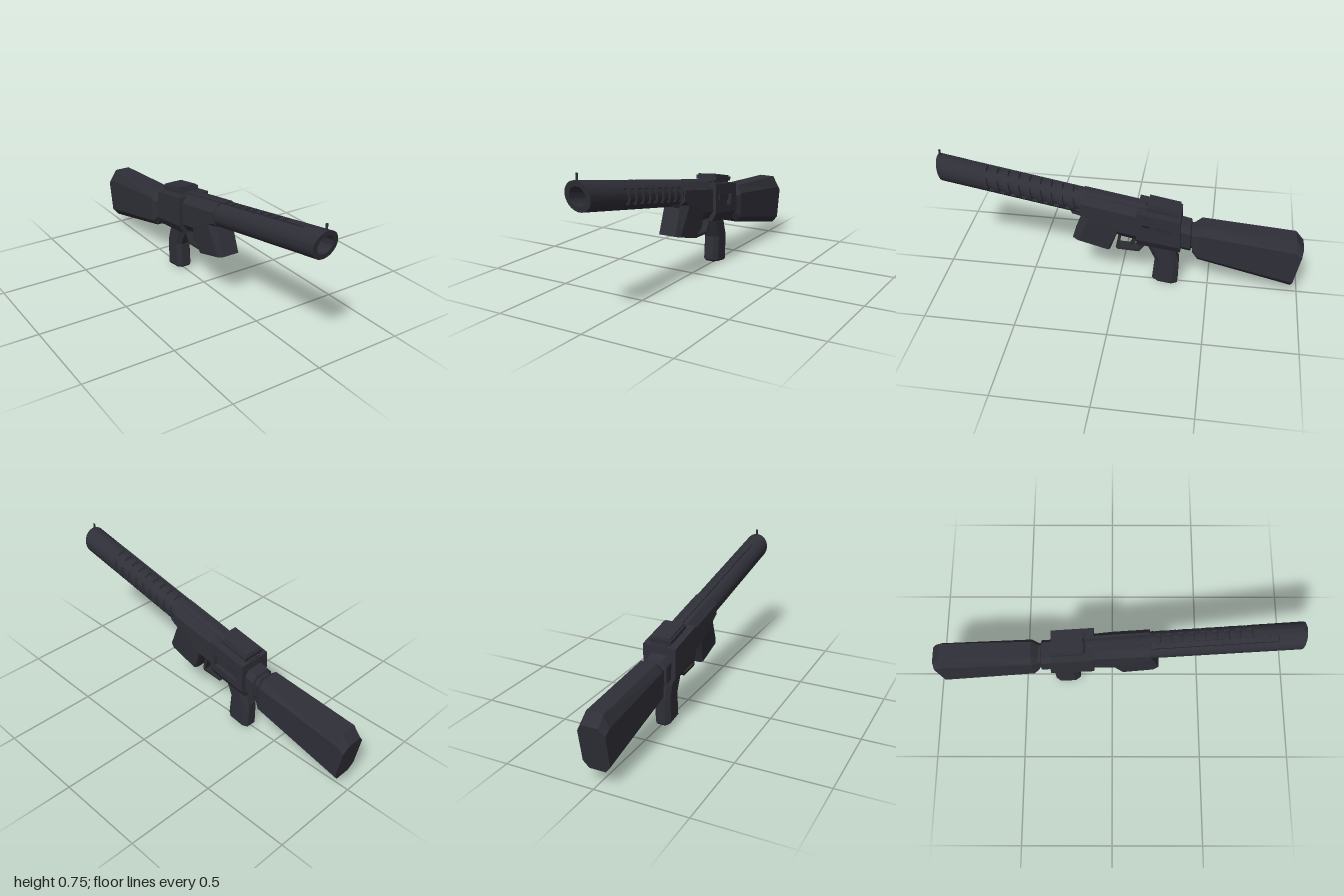
import * as THREE from 'three';
import { toCreasedNormals } from 'three/addons/utils/BufferGeometryUtils.js';

const main = new THREE.MeshStandardMaterial({ color: 0x2f2f38 });
main.name = 'dark blue grey';
const metal = new THREE.MeshStandardMaterial({ color: 0x2b2c30 });
metal.name = 'dark grey';

const V = (x, y, z) => new THREE.Vector3(x, y, z);

// Skin a list of equal-length rings, with caps; turned outward by signed volume
function loft(rings, crease = 0.15) {
  const tris = [];
  const n = rings[0].length;
  const mid = (r) => r.reduce((s, p) => s.add(p), V(0, 0, 0)).divideScalar(n);
  const first = rings[0], last = rings[rings.length - 1];
  const c0 = mid(first), c1 = mid(last);
  for (let j = 0; j < n; j++) {
    const k = (j + 1) % n;
    for (let i = 0; i + 1 < rings.length; i++) {
      const a = rings[i][j], b = rings[i][k], c = rings[i + 1][k], d = rings[i + 1][j];
      tris.push([a, b, c], [a, c, d]);
    }
    tris.push([c0, first[k], first[j]], [c1, last[j], last[k]]);
  }
  const volume = tris.reduce((s, [a, b, c]) => s + a.dot(b.clone().cross(c)), 0);
  const pts = tris.flatMap(([a, b, c]) => (volume < 0 ? [a, c, b] : [a, b, c]));
  const g = new THREE.BufferGeometry().setFromPoints(pts);
  return toCreasedNormals(g, crease);
}

// Chamfered eight-sided ring between edge A and edge B, half width w, flat half width f
function ring(zA, yA, zB, yB, w, f, cA = 0.2, cB = 0.2) {
  const at = (x, t) => V(x, yA + (yB - yA) * t, zA + (zB - zA) * t);
  return [at(-f, 0), at(f, 0), at(w, cA), at(w, 1 - cB), at(f, 1), at(-f, 1), at(-w, 1 - cB), at(-w, cA)];
}

// Side outline of [z, y] points, extruded from x0 to x1
function side(points, x0, x1, hole) {
  const vec = (list) => list.map(([z, y]) => new THREE.Vector2(-z, y));
  const shape = new THREE.Shape(vec(points));
  if (hole) shape.holes.push(new THREE.Path(vec(hole)));
  const g = new THREE.ExtrudeGeometry(shape, { depth: x1 - x0, bevelEnabled: false });
  return g.rotateY(Math.PI / 2).translate(x0, 0, 0);
}

// Barrel with vent slots, a long groove and a slanted, hollow muzzle
function barrelGeometry() {
  const R = 0.072, length = 1.16, eps = 0.0006;
  const slots = Array.from({ length: 9 }, (_, i) => -0.275 - i * 0.06);
  const slotW = 0.027, grooveStart = -0.14;
  const arcs = { groove: [-42, -16], top: [-15, 30], side: [58, 122] };
  const angles = [];
  for (let a = -180; a < 180; a += 6) angles.push(a);
  for (const e of Object.values(arcs).flat()) angles.push(e - 0.3, e + 0.3);
  angles.sort((a, b) => a - b);
  const inside = (v, [lo, hi]) => v > lo && v < hi;
  const radius = (a, s) => {
    if (s < grooveStart && inside(a, arcs.groove)) return R - 0.008;
    const inSlot = slots.some((t) => s < t && s > t - slotW);
    return inSlot && (inside(a, arcs.top) || inside(a, arcs.side)) ? R - 0.012 : R;
  };
  const makeRing = (s, r) => angles.map((a) => {
    const t = THREE.MathUtils.degToRad(a), q = r ?? radius(a, s);
    return V(Math.sin(t) * q, Math.cos(t) * q, s + 0.36 * Math.cos(t) * q);
  });
  const edges = [grooveStart, ...slots.flatMap((t) => [t, t - slotW])];
  const stations = [0, ...edges.flatMap((e) => [e + eps, e - eps]), -length];
  return loft([makeRing(-0.45, 0.046), makeRing(0, 0.046), ...stations.map((s) => makeRing(s))], 0.5);
}

export function createModel() {
  const model = new THREE.Group();
  model.name = 'rifle';
  const add = (name, geometry, material = main) => {
    const mesh = new THREE.Mesh(geometry, material);
    mesh.name = name;
    model.add(mesh);
    return mesh;
  };

  // Barrel and front sight
  const barrel = add('barrel', barrelGeometry());
  barrel.position.set(-0.002, 0.644, 0.985);
  barrel.rotation.x = -0.18;
  add('frontSight', new THREE.CylinderGeometry(0.006, 0.006, 0.06, 10).translate(-0.002, 0.72, 0.985));
  add('barrelLug', side([[0.27, 0.47], [0.26, 0.44], [0.19, 0.42], [0.19, 0.46]], 0.008, 0.045));

  // Receiver, slimmer where the side housing covers it
  add('receiver', loft([
    ring(0.2, 0.565, 0.208, 0.44, 0.078, 0.045, 0.32, 0.2),
    ring(0, 0.53, 0, 0.32, 0.078, 0.045),
    ring(-0.1, 0.512, -0.1, 0.3, 0.074, 0.045),
    ring(-0.105, 0.511, -0.105, 0.3, 0.044, 0.04),
    ring(-0.33, 0.475, -0.335, 0.257, 0.044, 0.04),
  ]));

  // Rear housing with the ejection port on one side
  const outline = [[-0.1, 0.505], [-0.335, 0.465], [-0.34, 0.3], [-0.1, 0.335]];
  const port = [[-0.127, 0.438], [-0.29, 0.412], [-0.288, 0.347], [-0.129, 0.372]];
  add('housing', side(outline, -0.095, 0.045));
  add('portFrame', side(outline, 0.045, 0.094, port));
  add('bolt', side([[-0.19, 0.427], [-0.29, 0.411], [-0.288, 0.372], [-0.19, 0.388]], 0.04, 0.07), metal);
  const wedge = (z, top, bottom) => [V(-0.095, top, z), V(0.094, top, z), V(0.068, bottom, z), V(-0.068, bottom, z)];
  add('housingBase', loft([wedge(-0.1, 0.335, 0.285), wedge(-0.34, 0.3, 0.255)]));

  // Top rail
  add('railBase', side([[-0.15, 0.517], [-0.325, 0.487], [-0.32, 0.45], [-0.145, 0.48]], -0.05, 0.05));
  add('rail', side([[-0.155, 0.53], [-0.327, 0.5], [-0.324, 0.478], [-0.152, 0.508]], -0.064, 0.062));
  add('railTop', side([[-0.16, 0.537], [-0.32, 0.508], [-0.32, 0.49], [-0.16, 0.52]], -0.054, 0.052));

  // Magazine well, open underneath
  add('magazineWell', loft([
    ring(0.19, 0.48, 0, 0.43, 0.078, 0.05, 0.2, 0.02),
    ring(0.206, 0.43, 0.005, 0.35, 0.076, 0.048, 0.2, 0.02),
    ring(0.26, 0.283, 0.05, 0.225, 0.064, 0.05, 0.15, 0.05),
    ring(0.248, 0.28, 0.062, 0.228, 0.053, 0.042, 0.12, 0.05),
    ring(0.225, 0.345, 0.04, 0.295, 0.053, 0.042, 0.12, 0.05),
  ]));

  // Trigger and guard
  add('triggerGuard', side(
    [[0.005, 0.32], [0.022, 0.222], [0.012, 0.212], [-0.11, 0.207], [-0.155, 0.27], [-0.15, 0.3]],
    -0.03, 0.03,
    [[-0.01, 0.308], [0.005, 0.226], [-0.104, 0.221], [-0.138, 0.27], [-0.136, 0.288]]), metal);
  add('trigger', side([[-0.075, 0.31], [-0.07, 0.27], [-0.055, 0.238], [-0.07, 0.232], [-0.09, 0.262], [-0.1, 0.31]], -0.012, 0.012), metal);

  // Pistol grip
  add('grip', loft([
    ring(-0.14, 0.31, -0.3, 0.29, 0.047, 0.026),
    ring(-0.152, 0.262, -0.305, 0.25, 0.047, 0.026),
    ring(-0.198, 0.165, -0.332, 0.16, 0.046, 0.026),
    ring(-0.186, 0.028, -0.33, 0.01, 0.046, 0.026),
    ring(-0.196, 0.016, -0.322, 0, 0.038, 0.022),
  ], 0.3));

  // Stock neck and collar
  add('neck', loft([
    ring(-0.32, 0.425, -0.32, 0.268, 0.07, 0.045),
    ring(-0.39, 0.41, -0.393, 0.256, 0.07, 0.045),
    ring(-0.395, 0.395, -0.398, 0.268, 0.058, 0.035),
    ring(-0.43, 0.388, -0.43, 0.262, 0.058, 0.035),
  ]));

  // Shoulder stock
  add('stock', loft([
    ring(-0.405, 0.39, -0.405, 0.24, 0.06, 0.036),
    ring(-0.447, 0.422, -0.435, 0.203, 0.075, 0.045, 0.2, 0.15),
    ring(-0.955, 0.385, -0.953, 0.08, 0.075, 0.045, 0.22, 0.13),
    ring(-1.0, 0.33, -0.956, 0.08, 0.075, 0.045, 0.15, 0.15),
  ]));

  return model;
}
